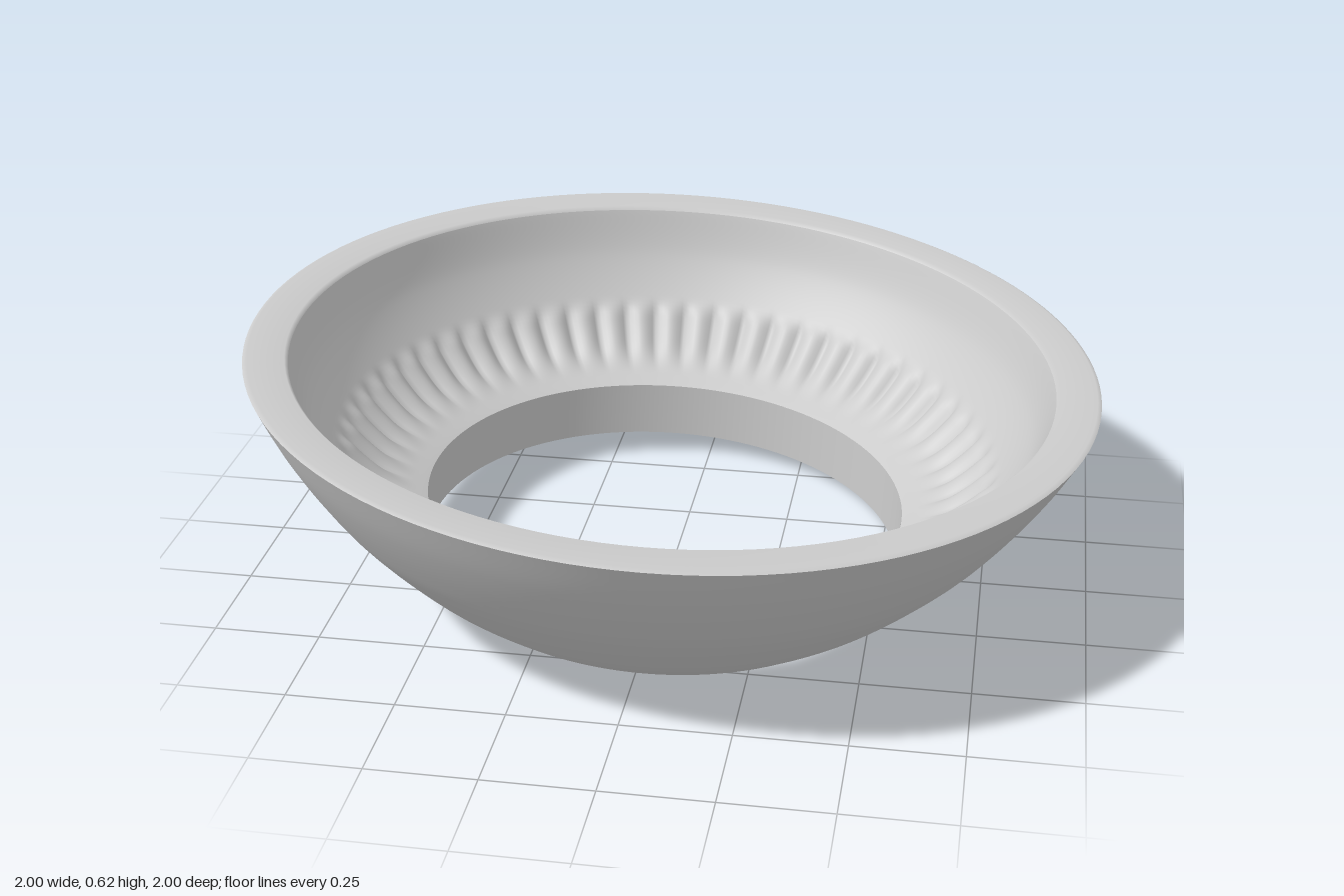
import * as THREE from 'three';
import { mergeVertices } from 'three/addons/utils/BufferGeometryUtils.js';

const PLEATS = 60;
const material = new THREE.MeshStandardMaterial({ color: 0xcccccc, side: THREE.DoubleSide });

const vectors = (points) => points.map(([r, y]) => new THREE.Vector2(r, y));
const smooth = (points, n) => new THREE.SplineCurve(vectors(points)).getPoints(n);

function lathe(name, profile, segments = 128, move) {
  let geometry = new THREE.LatheGeometry(profile, segments);
  if (move) {
    // Move each vertex by the rule, then weld the seam for even normals
    const pos = geometry.attributes.position;
    const v = new THREE.Vector3();
    for (let i = 0; i < pos.count; i++) {
      move(v.fromBufferAttribute(pos, i));
      pos.setXYZ(i, v.x, v.y, v.z);
    }
    geometry.deleteAttribute('uv');
    geometry.deleteAttribute('normal');
    geometry = mergeVertices(geometry, 1e-5);
    geometry.computeVertexNormals();
  }
  const mesh = new THREE.Mesh(geometry, material);
  mesh.name = name;
  return mesh;
}

// Rounded radial ridges on the lower inside wall, fading towards the front left
function pleat(v) {
  const r = Math.hypot(v.x, v.z);
  const angle = Math.atan2(v.z, v.x);
  const envelope = THREE.MathUtils.smoothstep(r, 0.61, 0.72)
    * (1 - THREE.MathUtils.smoothstep(r, 0.755, 0.79));
  const fade = 1 - 0.75 * Math.exp(-(((angle - 0.9) / 0.35) ** 2));
  const ridge = Math.abs(Math.sin(angle * PLEATS / 2)) - 0.5;
  const d = 0.02 * envelope * fade * ridge;
  v.x -= (v.x / r) * d * 0.7;
  v.z -= (v.z / r) * d * 0.7;
  v.y += d * 0.7;
}

export function createModel() {
  const model = new THREE.Group();
  model.name = 'openBowl';

  const bowl = new THREE.Group();
  bowl.name = 'tiltedBowl';
  model.add(bowl);

  // Rounded outside
  bowl.add(lathe('outerShell', smooth([
    [0.585, 0], [0.69, 0.085], [0.81, 0.21], [0.885, 0.31], [0.95, 0.415], [1, 0.515],
  ], 28)));

  // Flat top edge
  bowl.add(lathe('rim', vectors([[1, 0.515], [0.99, 0.52], [0.905, 0.517], [0.897, 0.508]])));

  // Inside wall with pleats
  bowl.add(lathe('pleatedLining', smooth([
    [0.897, 0.508], [0.855, 0.395], [0.78, 0.285], [0.69, 0.195], [0.575, 0.14],
  ], 44), 480, pleat));

  // Upright wall of the hole and the narrow edge it stands on
  bowl.add(lathe('holeWall', vectors([[0.575, 0.14], [0.575, 0]])));
  bowl.add(lathe('baseEdge', vectors([[0.575, 0], [0.585, 0]])));

  // The whole bowl leans slightly
  bowl.quaternion.setFromUnitVectors(
    new THREE.Vector3(0, 1, 0), new THREE.Vector3(0.06, 1, 0.025).normalize());
  bowl.position.set(-0.031, 0.038, -0.016);
  return model;
}
